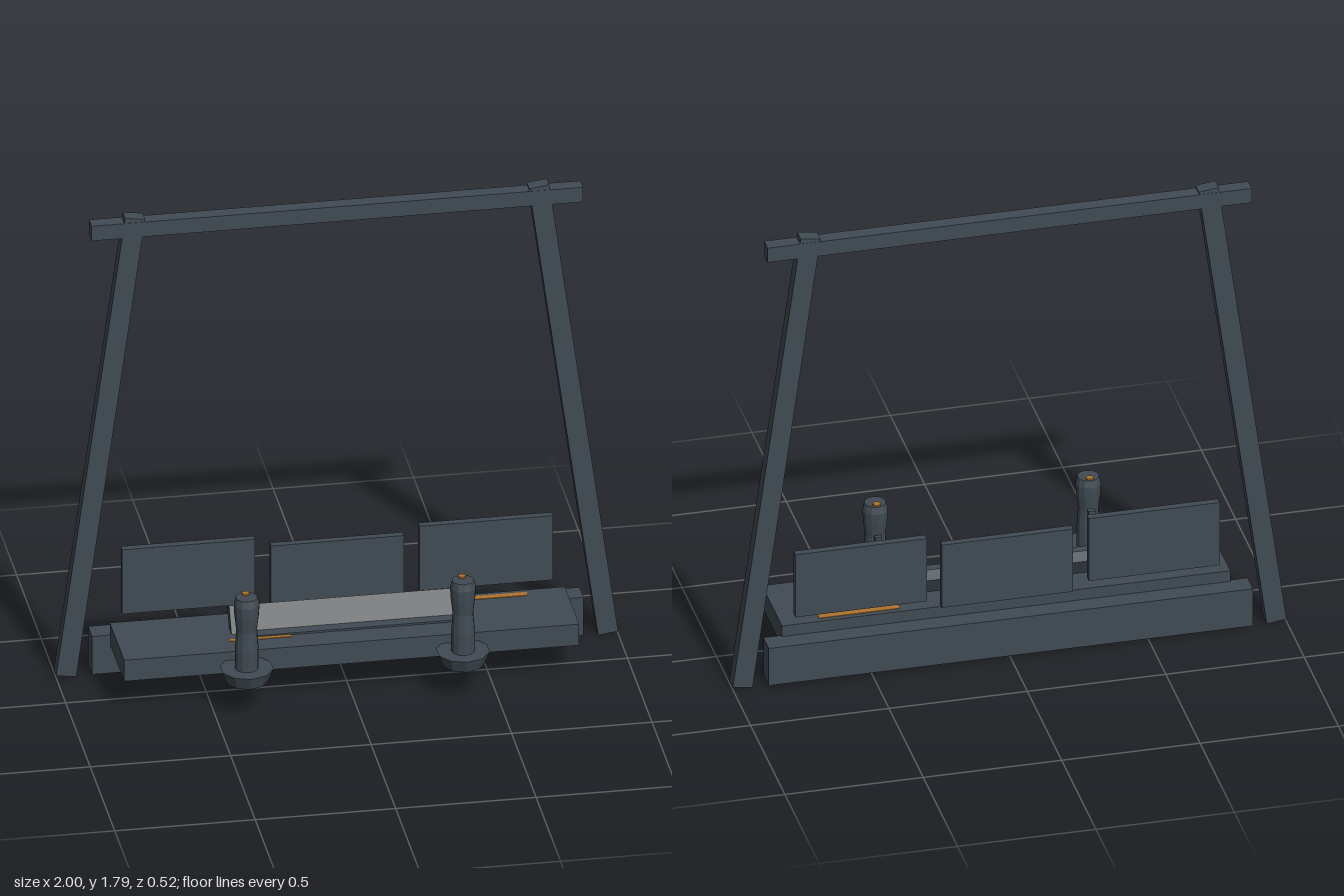
import * as THREE from 'three';

const steel = new THREE.MeshStandardMaterial({ color: 0x414b53, flatShading: true });
steel.name = 'slate steel';
const dark = new THREE.MeshStandardMaterial({ color: 0x2f353a, flatShading: true });
dark.name = 'dark screen';
const amber = new THREE.MeshStandardMaterial({ color: 0xb0742c, flatShading: true });
amber.name = 'amber';

export function createModel() {
  const model = new THREE.Group();
  model.name = 'controlFrame';

  const add = (name, geometry, material, x, y, z, parent = model) => {
    const mesh = new THREE.Mesh(geometry, material);
    mesh.name = name;
    mesh.position.set(x, y, z);
    parent.add(mesh);
    return mesh;
  };
  // Box given by its limits on each axis
  const box = (name, [x0, x1], [y0, y1], [z0, z1], material = steel, parent = model) =>
    add(name, new THREE.BoxGeometry(x1 - x0, y1 - y0, z1 - z0), material,
      (x0 + x1) / 2, (y0 + y1) / 2, (z0 + z1) / 2, parent);

  // Frame: leaning posts, top beam and bottom sill
  for (const side of [-1, 1]) {
    const post = add(side > 0 ? 'leftPost' : 'rightPost',
      new THREE.BoxGeometry(0.072, 1.797, 0.05), steel, side * 0.842, 0.895, -0.217);
    post.rotation.z = side * 0.137;
  }
  box('topBeam', [-0.875, 0.875], [1.712, 1.77], [-0.243, -0.191]);
  box('bottomSill', [-0.875, 0.875], [0.01, 0.16], [-0.26, -0.18]);

  // Console shelf and its amber light strips
  box('shelf', [-0.81, 0.81], [0.12, 0.203], [-0.19, 0.103]);
  box('rightLightStrip', [-0.42, -0.2], [0.2, 0.205], [0.01, 0.026], amber);
  box('leftLightStrip', [0.38, 0.67], [0.2, 0.205], [-0.17, -0.145], amber);

  // Upright rear panels
  box('rightPanel', [-0.768, -0.295], [0.24, 0.493], [-0.205, -0.177]);
  box('middlePanel', [-0.238, 0.236], [0.207, 0.46], [-0.207, -0.18]);
  box('leftPanel', [0.29, 0.765], [0.24, 0.493], [-0.205, -0.177]);

  // Tilted board with a dark face, and the ledge in front of it
  const board = new THREE.Group();
  board.name = 'tiltedBoard';
  board.position.set(0, 0.1885, -0.045);
  board.rotation.x = -0.515;
  model.add(board);
  box('boardBody', [-0.405, 0.405], [-0.1055, 0.1055], [-0.022, 0.019], steel, board);
  box('boardFace', [-0.405, 0.405], [-0.1055, 0.1055], [0.019, 0.022], dark, board);
  box('boardLedge', [-0.385, 0.385], [0.2, 0.21], [-0.05, 0.01]);

  // Control sticks: flared foot, waisted grip, trigger and button
  const gripProfile = [[0.042, 0.165], [0.042, 0.25], [0.037, 0.32], [0.044, 0.38],
    [0.046, 0.42], [0.039, 0.447], [0, 0.447]].map(([r, y]) => new THREE.Vector2(r, y));
  for (const side of [-1, 1]) {
    const stick = new THREE.Group();
    stick.name = side > 0 ? 'leftStick' : 'rightStick';
    stick.position.set(side * 0.385, 0, 0.167);
    model.add(stick);
    add('foot', new THREE.CylinderGeometry(0.095, 0.075, 0.05, 10), steel, 0, 0.145, 0, stick);
    add('grip', new THREE.LatheGeometry(gripProfile, 12), steel, 0, 0, 0, stick);
    box('trigger', [-0.012, 0.012], [0.27, 0.333], [-0.055, -0.034], steel, stick);
    add('button', new THREE.CylinderGeometry(0.014, 0.014, 0.012, 8), amber, 0, 0.447, -0.022, stick);
  }
  return model;
}
